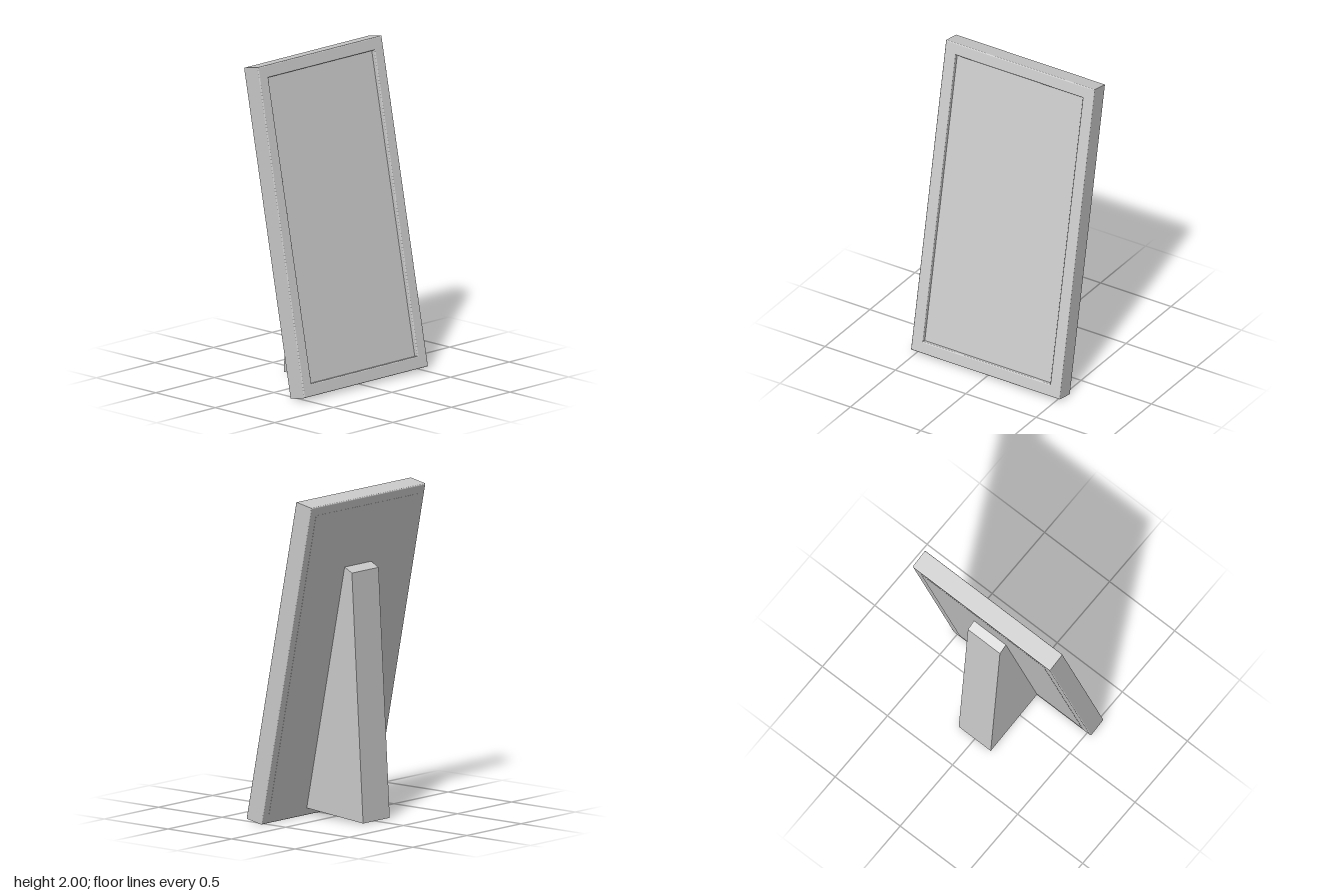
import * as THREE from 'three';

const WIDTH = 1.056, HEIGHT = 2.014, DEPTH = 0.123, BORDER = 0.075, BEVEL = 0.006;
const TILT = Math.atan2(0.39, 1.97);

// Path of an upright rectangle, inset from the outer edge of the frame
function rectangle(path, inset) {
  const x = WIDTH / 2 - inset, bottom = inset, top = HEIGHT - inset;
  path.moveTo(-x, bottom);
  path.lineTo(x, bottom);
  path.lineTo(x, top);
  path.lineTo(-x, top);
  path.closePath();
  return path;
}

export function createModel() {
  const model = new THREE.Group();
  model.name = 'standingFrame';
  const material = new THREE.MeshStandardMaterial({ color: 0xcccccc });

  const add = (parent, name, geometry) => {
    const mesh = new THREE.Mesh(geometry, material);
    mesh.name = name;
    parent.add(mesh);
    return mesh;
  };

  // Leaning frame, facing +x
  const frame = new THREE.Group();
  frame.name = 'frame';
  frame.position.set(0.165, 0, 0);
  frame.rotation.set(0, Math.PI / 2, TILT, 'ZYX');
  model.add(frame);

  // Border with softened edges
  const outline = rectangle(new THREE.Shape(), BEVEL);
  outline.holes.push(rectangle(new THREE.Path(), BORDER - BEVEL));
  const border = new THREE.ExtrudeGeometry(outline, {
    depth: DEPTH - 2 * BEVEL,
    bevelThickness: BEVEL,
    bevelSize: BEVEL,
    bevelSegments: 3,
  });
  add(frame, 'border', border).position.z = BEVEL;

  // Recessed panel, closing the back as well
  const panelDepth = DEPTH - 0.025;
  const panel = new THREE.BoxGeometry(WIDTH - 2 * BORDER + 0.04, HEIGHT - 2 * BORDER + 0.04, panelDepth);
  add(frame, 'panel', panel).position.set(0, HEIGHT / 2, panelDepth / 2 - 0.001);

  // Wedge-shaped easel leg behind the frame
  const legShape = new THREE.Shape([
    new THREE.Vector2(-0.288, 0.005),
    new THREE.Vector2(0.156, 0.046),
    new THREE.Vector2(-0.143, 1.55),
    new THREE.Vector2(-0.2, 1.52),
  ]);
  const leg = new THREE.ExtrudeGeometry(legShape, { depth: 0.246, bevelEnabled: false });
  add(model, 'easelLeg', leg).position.z = -0.123;

  return model;
}
